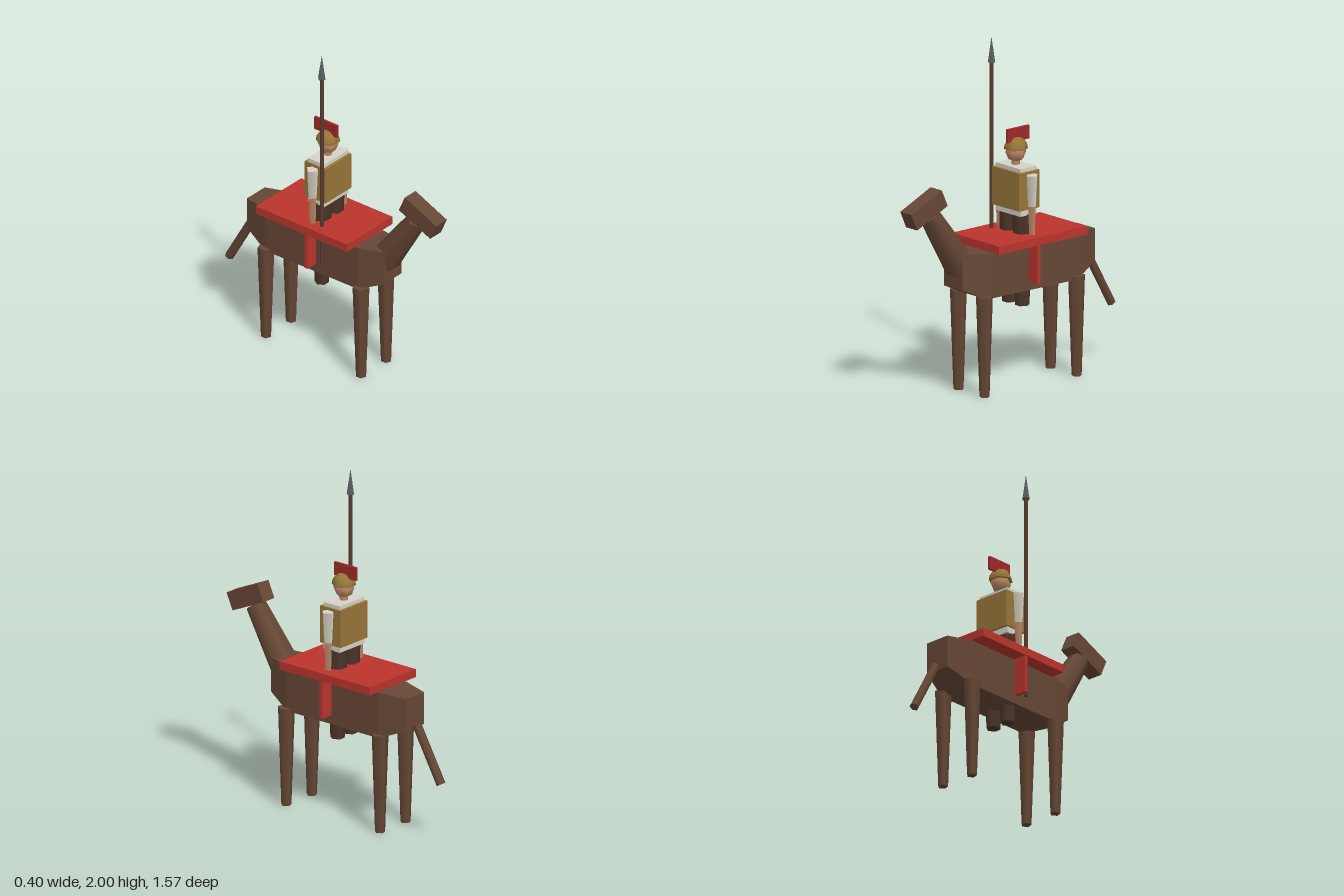
import * as THREE from 'three';

const paint = (name, color) => {
  const m = new THREE.MeshStandardMaterial({ color });
  m.name = name;
  return m;
};

export function createModel() {
  const model = new THREE.Group();
  model.name = 'mountedSoldier';

  const hide = paint('horse brown', 0x664735);
  const leather = paint('dark brown', 0x4c3529);
  const wood = paint('shaft brown', 0x5a3c2e);
  const red = paint('cloth red', 0xbb342d);
  const crestRed = paint('crest red', 0x9c2a28);
  const gold = paint('armour gold', 0x977538);
  const linen = paint('linen white', 0xd6d2c6);
  const skin = paint('skin', 0xbd8967);
  const steel = paint('steel grey', 0x596060);

  const add = (name, geometry, material, x = 0, y = 0, z = 0) => {
    const mesh = new THREE.Mesh(geometry, material);
    mesh.name = name;
    mesh.position.set(x, y, z);
    model.add(mesh);
    return mesh;
  };

  // Box given by its lower and upper corners
  const box = (name, material, [x0, y0, z0], [x1, y1, z1]) =>
    add(name, new THREE.BoxGeometry(x1 - x0, y1 - y0, z1 - z0), material,
      (x0 + x1) / 2, (y0 + y1) / 2, (z0 + z1) / 2);

  // Tapered rod from a to b; spin turns its sides about its own axis
  const rod = (name, material, a, b, ra, rb, sides, spin = 0) => {
    const from = new THREE.Vector3(...a), to = new THREE.Vector3(...b);
    const dir = to.clone().sub(from);
    const geometry = new THREE.CylinderGeometry(rb, ra, dir.length(), sides).rotateY(spin);
    const mid = from.add(to).multiplyScalar(0.5);
    const mesh = add(name, geometry, material, mid.x, mid.y, mid.z);
    mesh.quaternion.setFromUnitVectors(new THREE.Vector3(0, 1, 0), dir.normalize());
    return mesh;
  };
  const quarter = Math.PI / 2;

  // Horse body: a box whose ends taper. Each section: z, half width, bottom, top
  const sections = [
    [-0.565, 0.078, 0.63, 0.82],
    [-0.40, 0.12, 0.56, 0.832],
    [0.28, 0.12, 0.565, 0.832],
    [0.43, 0.08, 0.635, 0.842],
  ];
  const trunk = new THREE.BoxGeometry(2, 1, 3, 1, 1, 3);
  const p = trunk.attributes.position;
  for (let i = 0; i < p.count; i++) {
    const [z, w, low, high] = sections[Math.round(p.getZ(i) + 1.5)];
    p.setXYZ(i, p.getX(i) * w, p.getY(i) > 0 ? high : low, z);
  }
  const flatTrunk = trunk.toNonIndexed();
  flatTrunk.computeVertexNormals();
  add('horseBody', flatTrunk, hide);

  // Horse neck, head and tail
  rod('horseNeck', hide, [0, 0.75, 0.376], [0, 1.09, 0.61], 0.09, 0.06, 6, quarter);
  add('horseHead', new THREE.BoxGeometry(0.095, 0.107, 0.25), hide, 0, 1.135, 0.65).rotation.x = 0.42;
  rod('horseTail', hide, [0, 0.65, -0.58], [0, 0.336, -0.758], 0.027, 0.027, 6);

  // Saddle cloth and the cross strap hanging below it
  box('saddleCloth', red, [-0.2, 0.838, -0.4], [0.2, 0.886, 0.263]);
  box('saddleStrap', red, [-0.195, 0.615, -0.05], [0.195, 0.84, -0.028]);

  for (const [side, s] of [['left', 1], ['right', -1]]) {
    for (const [end, z] of [['Front', 0.292], ['Rear', -0.4]]) {
      rod(`${side}${end}HorseLeg`, hide, [0.11 * s, 0, z], [0.11 * s, 0.582, z], 0.03, 0.05, 5, quarter);
    }
    // Rider legs and arms
    const rz = -0.04;
    rod(`${side}RiderLeg`, leather, [0.055 * s, 0.465, rz], [0.055 * s, 1.0, rz], 0.041, 0.058, 6, quarter);
    rod(`${side}Sleeve`, linen, [0.137 * s, 1.055, rz], [0.137 * s, 1.235, rz], 0.03, 0.04, 4);
    rod(`${side}Forearm`, skin, [0.137 * s, 0.89, rz], [0.137 * s, 1.06, rz], 0.023, 0.028, 4);
  }

  // Rider torso: tunic showing above and below the cuirass
  box('tunic', linen, [-0.106, 0.995, -0.1], [0.106, 1.272, 0.02]);
  box('cuirass', gold, [-0.115, 1.03, -0.115], [0.115, 1.25, 0.037]);

  // Rider neck, head, helmet and crest
  rod('riderNeck', skin, [0, 1.26, -0.04], [0, 1.33, -0.04], 0.024, 0.024, 6, quarter);
  add('riderHead', new THREE.SphereGeometry(0.06, 6, 4), skin, 0, 1.345, -0.04);
  add('helmet', new THREE.SphereGeometry(0.07, 6, 4, 0, Math.PI * 2, 0, quarter), gold, 0, 1.362, -0.04);
  add('helmetBrim', new THREE.CircleGeometry(0.07, 6).rotateX(quarter), gold, 0, 1.362, -0.04);
  box('crest', crestRed, [-0.008, 1.405, -0.135], [0.008, 1.483, 0.028]);

  // Spear
  rod('spearShaft', wood, [-0.133, 0.63, 0.025], [-0.133, 1.86, 0.025], 0.012, 0.012, 6);
  add('spearHead', new THREE.ConeGeometry(0.027, 0.15, 4), steel, -0.133, 1.925, 0.025);

  return model;
}
